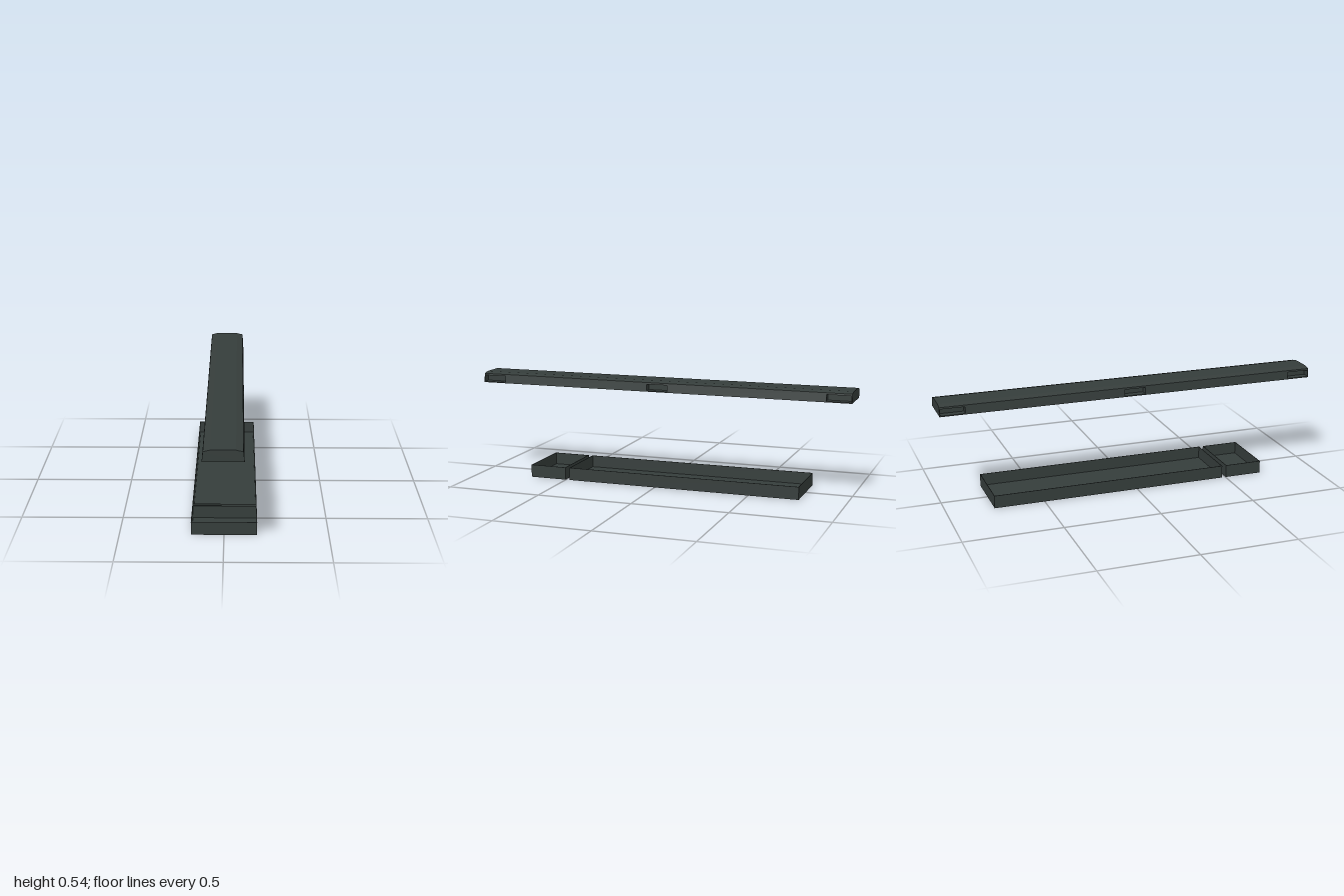
import * as THREE from 'three';

const charcoal = new THREE.MeshStandardMaterial({ color: 0x353d3b });
charcoal.name = 'charcoal';

function addBox(parent, name, size, pos) {
  const mesh = new THREE.Mesh(new THREE.BoxGeometry(...size), charcoal);
  mesh.name = name;
  mesh.position.set(...pos);
  parent.add(mesh);
}

// Open tray with a thin floor and four thin walls
function makeTray(name, z0, z1) {
  const tray = new THREE.Group();
  tray.name = name;
  const half = 0.158, h = 0.066, t = 0.003, len = z1 - z0, mid = (z0 + z1) / 2;
  addBox(tray, 'floor', [half * 2, t, len], [0, t / 2, mid]);
  for (const s of [-1, 1]) {
    addBox(tray, 'sideWall', [t, h - t, len], [s * (half - t / 2), (h + t) / 2, mid]);
    addBox(tray, 'endWall', [(half - t) * 2, h - t, t], [0, (h + t) / 2, mid + s * (len - t) / 2]);
  }
  return tray;
}

// Right half of the bar's cross-section, bottom to top
const plain = [[0.095, 0.488], [0.09, 0.535], [0.057, 0.543]];
const notched = [
  [0.095, 0.488], [0.0945, 0.493], [0.055, 0.493],
  [0.055, 0.526], [0.091, 0.526], [0.09, 0.535], [0.057, 0.543],
];

function makeSection(name, half, z0, z1) {
  const mirrored = half.map(([x, y]) => [-x, y]).reverse();
  const shape = new THREE.Shape([...half, ...mirrored].map(([x, y]) => new THREE.Vector2(x, y)));
  const geometry = new THREE.ExtrudeGeometry(shape, { depth: z1 - z0, bevelEnabled: false });
  const mesh = new THREE.Mesh(geometry, charcoal);
  mesh.name = name;
  mesh.position.z = z0;
  return mesh;
}

export function createModel() {
  const model = new THREE.Group();
  model.name = 'barAndTrays';

  // Long chamfered bar with three pockets along each side
  const bar = new THREE.Group();
  bar.name = 'upperBar';
  const stops = [-1, -0.996, -0.872, -0.045, 0.067, 0.876, 0.996, 1];
  for (let i = 0; i < stops.length - 1; i++) {
    const pocket = i % 2 === 1;
    bar.add(makeSection(pocket ? 'pocketSection' : 'barSection', pocket ? notched : plain, stops[i], stops[i + 1]));
  }
  model.add(bar);

  // Two trays end to end below the bar
  model.add(makeTray('longTray', -0.76, 0.48));
  model.add(makeTray('shortTray', 0.502, 0.70));
  return model;
}
